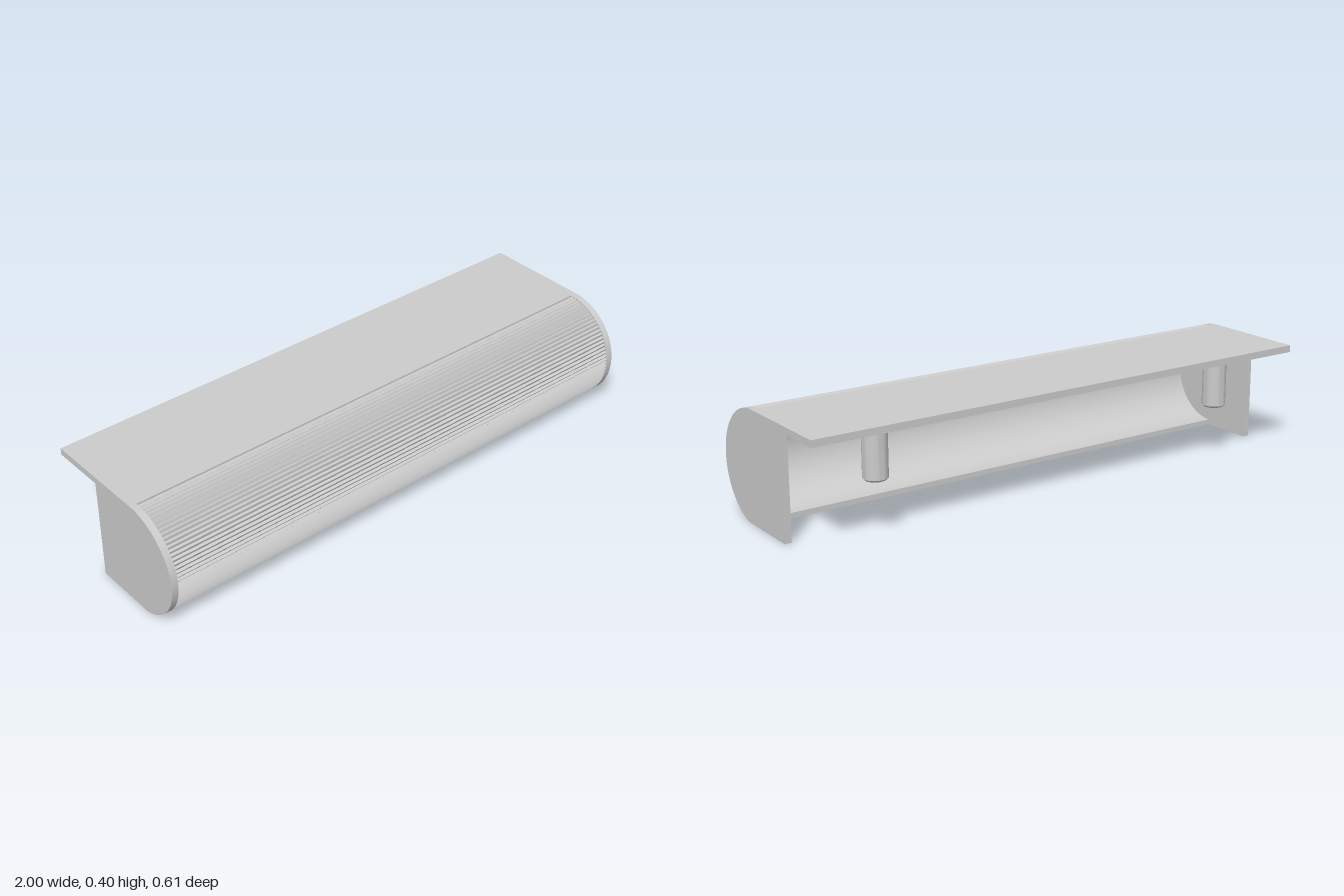
import * as THREE from 'three';
import { toCreasedNormals } from 'three/addons/utils/BufferGeometryUtils.js';

const R = 0.203, WALL = 0.025, CY = 0.197, CZ = 0.1, TOP = 0.4, BACK = -0.303;
const END = Math.acos(-CY / R); // angle where the round front meets the underside

// Point of the side profile; the shape's x axis is -z
const pt = (z, y) => new THREE.Vector2(-z, y);
const onArc = (r, t) => pt(CZ + r * Math.sin(t), CY + r * Math.cos(t));

function arc(r, from, to, n = 48) {
  return Array.from({ length: n + 1 }, (_, i) => onArc(r, from + (to - from) * i / n));
}

// Extrude a side profile along x, from x0 to x1
function slab(name, points, x0, x1, material) {
  const geo = new THREE.ExtrudeGeometry(new THREE.Shape(points), { depth: x1 - x0, bevelEnabled: false });
  geo.rotateY(Math.PI / 2).translate(x0, 0, 0);
  const mesh = new THREE.Mesh(toCreasedNormals(geo, 0.3), material);
  mesh.name = name;
  return mesh;
}

export function createModel() {
  const group = new THREE.Group();
  group.name = 'cupPull';
  const material = new THREE.MeshStandardMaterial({ color: 0xcccccc });

  // Fine ribs running along the rounded front, kept inside the end outline
  const ribs = [], count = 40, depth = 0.007, step = END / count;
  for (let i = 0; i < count; i++) {
    ribs.push(onArc(R - depth, i * step), onArc(R, (i + 0.5) * step));
  }
  ribs.push(onArc(R - depth * 0.8, END - step * 0.1));

  // Ribbed shell with its mounting plate and lower lip
  const shell = [
    pt(BACK, TOP - WALL), pt(BACK, TOP), pt(CZ, TOP),
    ...ribs,
    pt(0.145, 0), pt(CZ, 0),
    ...arc(R - WALL, Math.PI, 0),
  ];
  group.add(slab('ribbedShell', shell, -1 + WALL, 1 - WALL, material));

  // Solid ends, carrying the last strip of the plate
  const end = [
    pt(-0.1, 0), pt(-0.1, TOP - WALL), pt(BACK, TOP - WALL), pt(BACK, TOP),
    ...arc(R, 0, END),
  ];
  group.add(slab('leftEnd', end, 1 - WALL, 1, material));
  group.add(slab('rightEnd', end, -1, -1 + WALL, material));

  // Mounting posts with a chamfered tip
  const profile = [[0, 0.193], [0.036, 0.193], [0.043, 0.2], [0.043, TOP - WALL]]
    .map(([r, y]) => new THREE.Vector2(r, y));
  const postGeo = toCreasedNormals(new THREE.LatheGeometry(profile, 40), 0.5);
  for (const side of [1, -1]) {
    const post = new THREE.Mesh(postGeo, material);
    post.name = side > 0 ? 'leftPost' : 'rightPost';
    post.position.set(side * 0.72, 0, -0.202);
    group.add(post);
  }
  return group;
}
